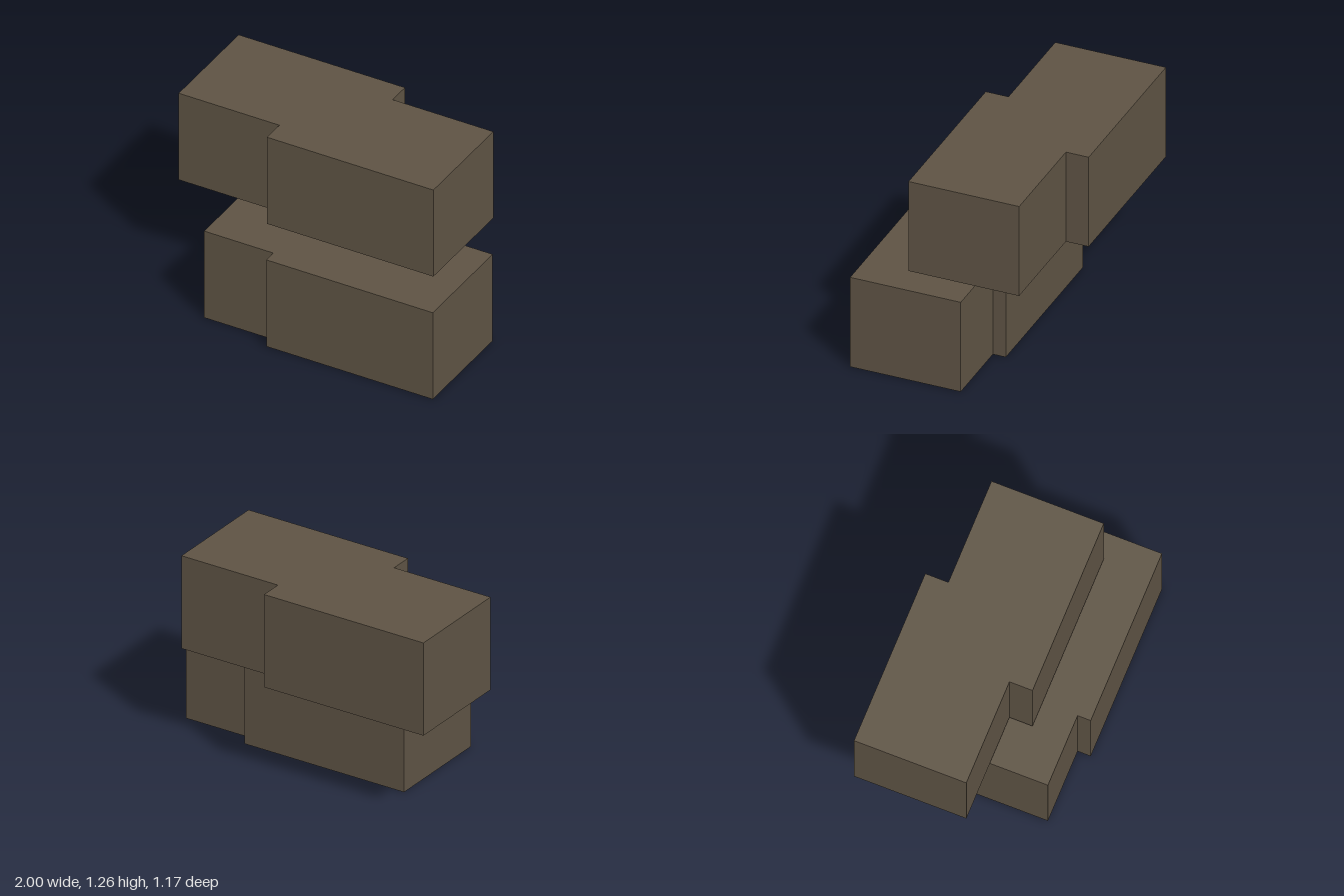
import * as THREE from 'three';

const WIDTH = 1.14, DEPTH = 0.72, HEIGHT = 0.62;

// One storey: two equal rectangles, offset from each other, merged into one stepped outline.
// (x, z) is the left back corner of the rear rectangle; (dx, dz) shifts the front one.
function steppedBlock(name, material, x, y, z, dx, dz) {
  const outline = [
    [x, z], [x, z + DEPTH], [x + dx, z + DEPTH], [x + dx, z + DEPTH + dz],
    [x + dx + WIDTH, z + DEPTH + dz], [x + dx + WIDTH, z + dz],
    [x + WIDTH, z + dz], [x + WIDTH, z],
  ];
  const shape = new THREE.Shape(outline.map(([px, pz]) => new THREE.Vector2(px, -pz)));
  const geometry = new THREE.ExtrudeGeometry(shape, { depth: HEIGHT, bevelEnabled: false });
  geometry.rotateX(-Math.PI / 2);
  const mesh = new THREE.Mesh(geometry, material);
  mesh.name = name;
  mesh.position.y = y;
  return mesh;
}

export function createModel() {
  const model = new THREE.Group();
  model.name = 'stackedBlocks';
  const brown = new THREE.MeshStandardMaterial({ color: 0x5e5344 });
  brown.name = 'dark brown';

  // Lower storey, then the upper one floating just above it
  model.add(steppedBlock('lowerBlock', brown, -0.615, 0, -0.218, 0.475, 0.084));
  model.add(steppedBlock('upperBlock', brown, -1, 0.645, -0.587, 0.69, 0.148));
  return model;
}
